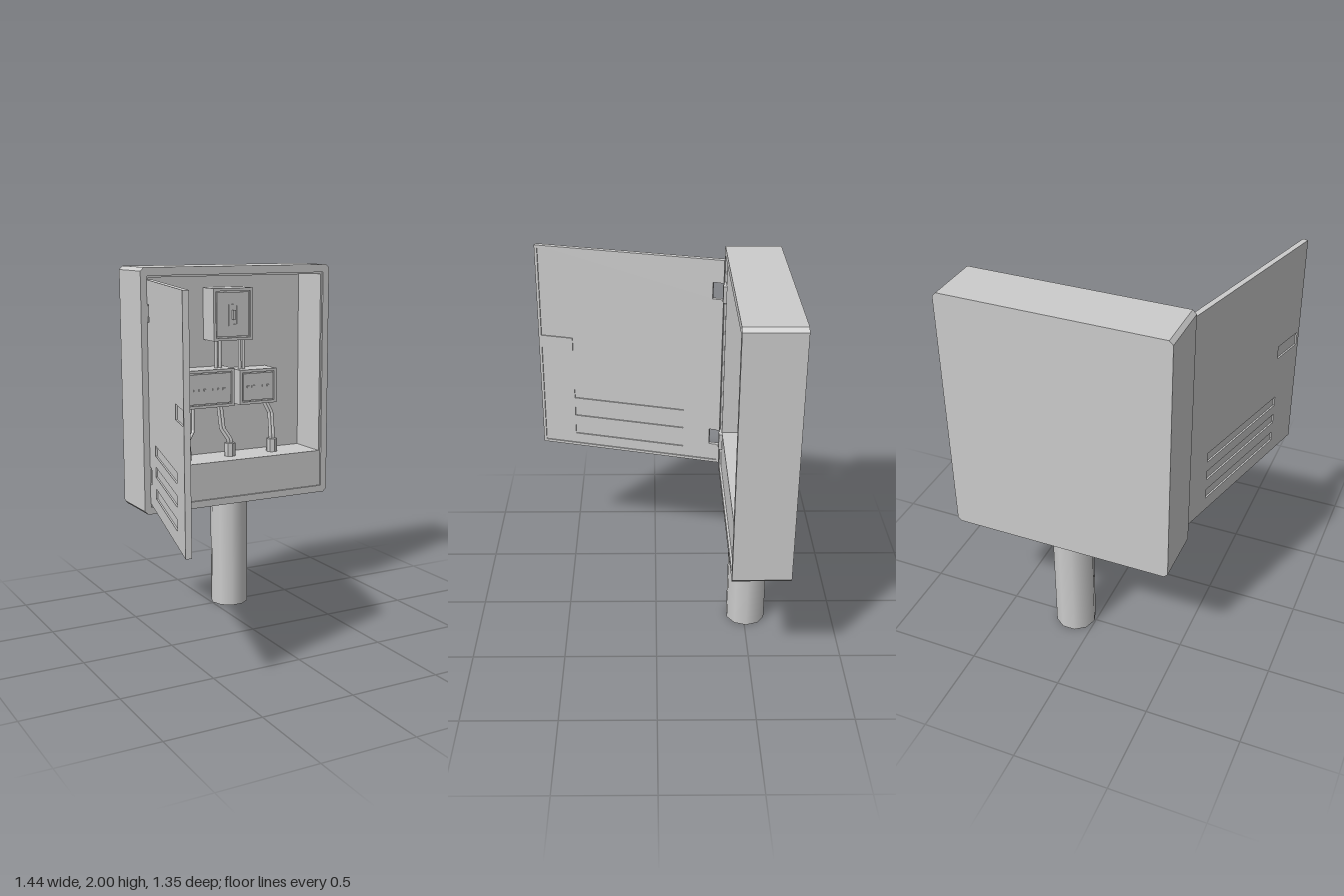
import * as THREE from 'three';

const material = new THREE.MeshStandardMaterial({ color: 0xcccccc });

function add(parent, name, geometry, x = 0, y = 0, z = 0) {
  const mesh = new THREE.Mesh(geometry, material);
  mesh.name = name;
  mesh.position.set(x, y, z);
  parent.add(mesh);
  return mesh;
}

// Box given by its limits
function block(parent, name, [x0, x1], [y0, y1], [z0, z1]) {
  return add(parent, name, new THREE.BoxGeometry(x1 - x0, y1 - y0, z1 - z0),
    (x0 + x1) / 2, (y0 + y1) / 2, (z0 + z1) / 2);
}

const rect = (x0, x1, y0, y1) => [[x0, y0], [x1, y0], [x1, y1], [x0, y1]];
const toPoints = (list) => list.map(([x, y]) => new THREE.Vector2(x, y));

// Flat plate from an outline with holes, between two depths
function plate(parent, name, outline, holes, z0, z1) {
  const shape = new THREE.Shape(toPoints(outline));
  for (const hole of holes) shape.holes.push(new THREE.Path(toPoints(hole)));
  const geometry = new THREE.ExtrudeGeometry(shape, { depth: z1 - z0, bevelEnabled: false });
  return add(parent, name, geometry, 0, 0, z0);
}

function makeCabinet() {
  const g = new THREE.Group();
  g.name = 'cabinet';
  const [x0, x1, y0, y1, c] = [-0.48, 0.715, 0.635, 2, 0.02];
  const outline = [[x0 + c, y0], [x1 - c, y0], [x1, y0 + c], [x1, y1 - c],
    [x1 - c, y1], [x0 + c, y1], [x0, y1 - c], [x0, y0 + c]];
  plate(g, 'backWall', outline, [], -0.675, -0.635);
  plate(g, 'sideWalls', outline, [rect(-0.43, 0.665, 0.685, 1.945)], -0.635, -0.387);
  plate(g, 'frontRim', outline, [rect(-0.44, 0.675, 0.675, 1.955)], -0.387, -0.375);
  block(g, 'shelf', [-0.43, 0.665], [0.685, 0.89], [-0.635, -0.387]);
  return g;
}

// Open door: built shut with its hinge edge at x = 0, then swung out
function makeDoor() {
  const g = new THREE.Group();
  g.name = 'door';
  const w = 1.085, y0 = 0.7, y1 = 1.935, n = 0.062, lip = 0.016;
  const notches = [[0.815, 0.91], [1.71, 1.805]];
  const edge = (inset) => {
    const pts = [[inset, y1 - inset], [w - inset, y1 - inset], [w - inset, y0 + inset], [inset, y0 + inset]];
    for (const [a, b] of notches) pts.push([inset, a], [n, a], [n, b], [inset, b]);
    return pts;
  };
  const vents = [0.805, 0.925, 1.04].map((y) => rect(0.217, 0.88, y - 0.028, y + 0.028));
  plate(g, 'doorOuterSkin', edge(0), [...vents, rect(0.87, 1.065, 1.32, 1.395)], 0.021, 0.03);
  plate(g, 'doorCore', edge(0), [], 0.015, 0.021);
  plate(g, 'doorInnerSkin', edge(0), vents, 0.007, 0.015);
  // Raised border on the inner face
  block(g, 'doorLipTop', [0, w], [y1 - lip, y1], [0, 0.007]);
  block(g, 'doorLipBottom', [0, w], [y0, y0 + lip], [0, 0.007]);
  block(g, 'doorLipEdge', [w - lip, w], [y0 + lip, y1 - lip], [0, 0.007]);
  for (const [a, b] of [[y0 + lip, 0.815], [0.91, 1.71], [1.805, y1 - lip]])
    block(g, 'doorLipHinge', [0, lip], [a, b], [0, 0.007]);
  block(g, 'latch', [0.88, w - lip], [1.32, 1.395], [0, 0.007]);
  g.position.set(-0.415, 0, -0.37);
  g.rotation.y = -THREE.MathUtils.degToRad(105);
  return g;
}

function makeHinge(y) {
  const g = new THREE.Group();
  g.name = 'hinge';
  block(g, 'hingeLeaf', [-0.404, -0.365], [y, y + 0.095], [-0.385, -0.365]);
  block(g, 'hingeKnuckle', [-0.44, -0.404], [y, y + 0.095], [-0.385, -0.371]);
  return g;
}

// Electrical box with a rim around a sunken front
function makeDevice(name, x0, x1, y0, y1, front) {
  const g = new THREE.Group();
  g.name = name;
  const t = 0.016;
  block(g, 'deviceBody', [x0, x1], [y0, y1], [-0.635, front - 0.012]);
  plate(g, 'deviceRim', rect(x0, x1, y0, y1), [rect(x0 + t, x1 - t, y0 + t, y1 - t)], front - 0.012, front);
  block(g, 'devicePanel', [x0 + t + 0.007, x1 - t - 0.007], [y0 + t + 0.007, y1 - t - 0.007],
    [front - 0.012, front - 0.003]);
  return g;
}

// Two parallel wires along a path
function makeWires(path, gap = 0.026) {
  const g = new THREE.Group();
  g.name = 'wires';
  for (const s of [-0.5, 0.5]) {
    const curve = new THREE.CurvePath();
    const pts = path.map(([x, y, z]) => new THREE.Vector3(x + s * gap, y, z));
    for (let i = 1; i < pts.length; i++) curve.add(new THREE.LineCurve3(pts[i - 1], pts[i]));
    add(g, 'wire', new THREE.TubeGeometry(curve, 24, 0.01, 8, false));
  }
  return g;
}

export function createModel() {
  const model = new THREE.Group();
  model.name = 'electricalCabinet';

  const pole = add(model, 'pole', new THREE.CylinderGeometry(0.11, 0.11, 0.64, 10), 0.116, 0.32, -0.51);
  pole.rotation.y = Math.PI / 2;

  model.add(makeCabinet(), makeDoor(), makeHinge(0.815), makeHinge(1.71));

  // Main switch
  const main = makeDevice('mainSwitch', 0.02, 0.275, 1.57, 1.87, -0.5);
  plate(main, 'switchFrame', rect(0.118, 0.177, 1.655, 1.778), [rect(0.126, 0.169, 1.663, 1.77)], -0.503, -0.497);
  block(main, 'switchLever', [0.139, 0.156], [1.69, 1.745], [-0.505, -0.485]);

  // Breaker boxes with rows of small breakers
  const large = makeDevice('largeBreakerBox', -0.18, 0.145, 1.19, 1.41, -0.485);
  const small = makeDevice('smallBreakerBox', 0.185, 0.43, 1.19, 1.395, -0.49);
  for (const [box, xs, z] of [
    [large, [-0.108, -0.076, -0.044, 0.012, 0.044, 0.076], -0.488],
    [small, [0.24, 0.272, 0.343, 0.375], -0.493]]) {
    for (const x of xs) block(box, 'breaker', [x - 0.01, x + 0.01], [1.29, 1.301], [z, z + 0.008]);
  }
  model.add(main, large, small);

  // Wires between the boxes
  model.add(makeWires([[0.077, 1.58, -0.56], [0.077, 1.4, -0.56]]));
  model.add(makeWires([[0.232, 1.58, -0.56], [0.232, 1.385, -0.56]]));

  // Wires down to the sockets on the shelf
  const drops = [
    [[-0.103, 1.2], [-0.112, 1.05], [-0.16, 0.96]],
    [[0.078, 1.2], [0.09, 1.05], [0.128, 0.96]],
    [[0.38, 1.2], [0.415, 1.12], [0.413, 0.96]],
  ];
  for (const [a, b, c] of drops) {
    model.add(makeWires([[...a, -0.55], [...b, -0.535], [c[0], 0.985, -0.515], [...c, -0.515]], 0.02));
    add(model, 'socket', new THREE.CylinderGeometry(0.034, 0.034, 0.08, 8).toNonIndexed(), c[0], 0.928, -0.515)
      .geometry.computeVertexNormals();
  }
  return model;
}
